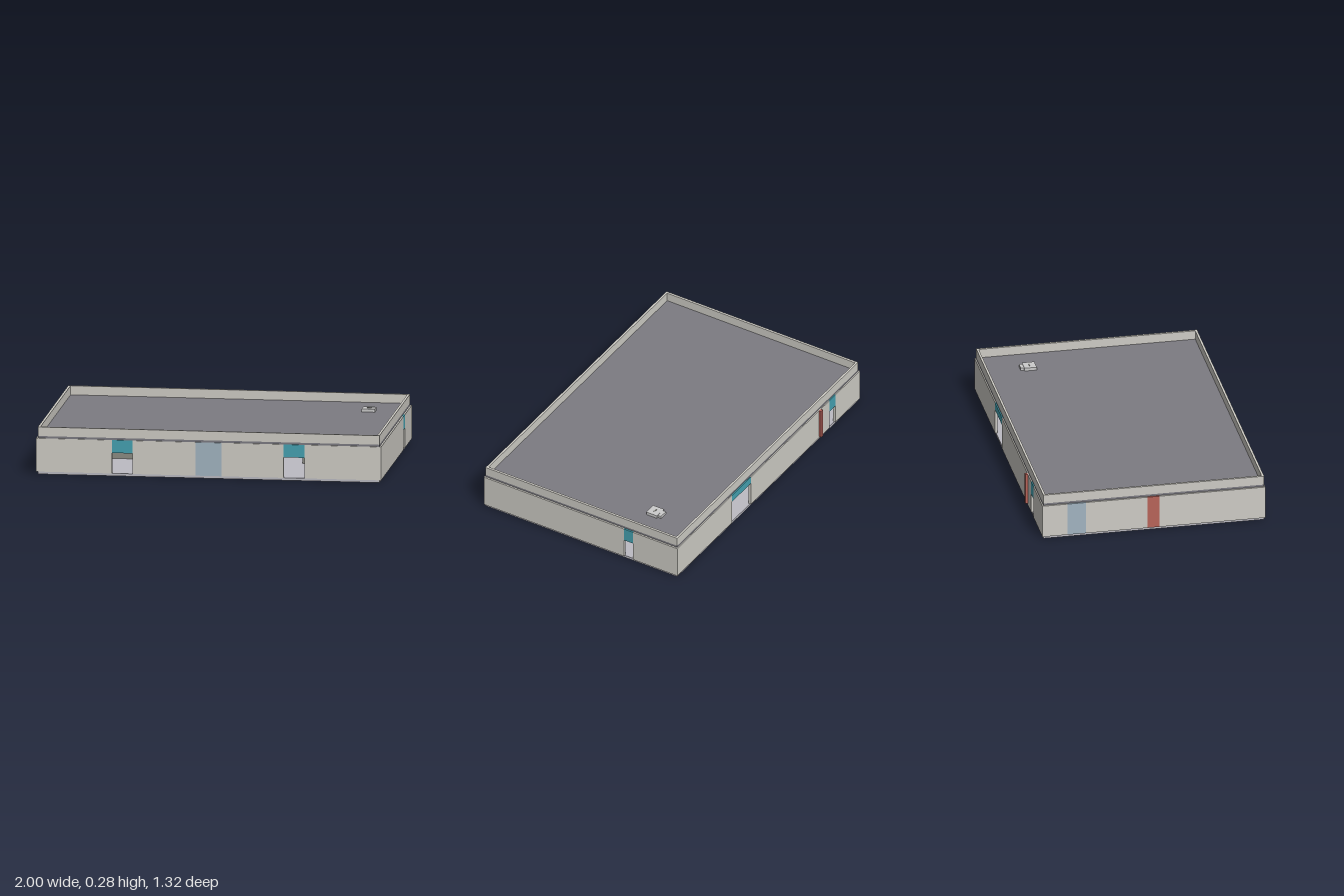
import * as THREE from 'three';

const mat = (color) => new THREE.MeshStandardMaterial({ color });
const stone = mat(0xcfcdc6), floorGrey = mat(0xbcbbc3), roofGrey = mat(0x7c7b82);
const teal = mat(0x45a2b2), glass = mat(0xa3b5c2), red = mat(0xb8645a);
const darkGrey = mat(0x8c8c84), grey = mat(0xcccccc);

// Box given by its lower and upper limits on each axis
function box(parent, name, material, [x0, x1], [y0, y1], [z0, z1]) {
  const mesh = new THREE.Mesh(new THREE.BoxGeometry(x1 - x0, y1 - y0, z1 - z0), material);
  mesh.position.set((x0 + x1) / 2, (y0 + y1) / 2, (z0 + z1) / 2);
  mesh.name = name;
  parent.add(mesh);
  return mesh;
}

const Y0 = 0.015, Y1 = 0.21, THICK = 0.016;
const X = 1, ZB = -0.645, ZF = 0.66;

// Wall running along x or z, split around its doors and panels.
// A feature spans from..to; it fills the wall above "bottom" and is open below.
function wall(parent, name, along, [start, end], across, features) {
  const group = new THREE.Group();
  group.name = name;
  const piece = (label, material, a, b, y0) => along === 'x'
    ? box(group, label, material, [a, b], [y0, Y1], across)
    : box(group, label, material, across, [y0, Y1], [a, b]);
  let at = start;
  for (const f of features) {
    piece('wallSection', stone, at, f.from, Y0);
    piece(f.name, f.material, f.from, f.to, f.bottom ?? Y0);
    at = f.to;
  }
  piece('wallSection', stone, at, end, Y0);
  parent.add(group);
}

const door = (from, to, bottom) => ({ name: 'doorTransom', material: teal, from, to, bottom });
const panel = (name, material, from, to) => ({ name, material, from, to });

export function createModel() {
  const model = new THREE.Group();
  model.name = 'building';

  // Floor slab and roof deck
  const px = [-0.99, 0.99], pz = [-0.638, 0.655];
  box(model, 'floorSlab', floorGrey, px, [0, Y0], pz);
  box(model, 'roofDeck', roofGrey, px, [Y1, 0.222], pz);

  // Outer walls with doorways and panels
  wall(model, 'frontWall', 'x', [-X, X], [ZF - THICK, ZF], [
    door(-0.56, -0.44, 0.135),
    panel('glassPanel', glass, -0.075, 0.075),
    door(0.435, 0.555, 0.135),
  ]);
  wall(model, 'backWall', 'x', [-X, X], [ZB, ZB + THICK], [
    door(-0.73, -0.665, 0.13),
    door(0.195, 0.4, 0.165),
  ]);
  const sideSpan = [ZB + THICK, ZF - THICK];
  wall(model, 'leftWall', 'z', sideSpan, [X - THICK, X], [door(-0.345, -0.285, 0.13)]);
  wall(model, 'rightWall', 'z', sideSpan, [-X, -X + THICK], [
    panel('glassPanel', glass, -0.5, -0.39),
    panel('redPanel', red, -0.03, 0.04),
  ]);

  // Parapet around the roof
  const frame = new THREE.Shape();
  const rect = (path, x0, x1, z0, z1) => path
    .moveTo(x0, -z1).lineTo(x1, -z1).lineTo(x1, -z0).lineTo(x0, -z0).closePath();
  rect(frame, ...px, ...pz);
  const inner = new THREE.Path();
  rect(inner, -0.976, 0.976, -0.625, 0.642);
  frame.holes.push(inner);
  const parapet = new THREE.Mesh(
    new THREE.ExtrudeGeometry(frame, { depth: 0.053, bevelEnabled: false }), stone);
  parapet.rotation.x = -Math.PI / 2;
  parapet.position.y = 0.222;
  parapet.name = 'parapet';
  model.add(parapet);

  // Upright red duct on the back wall
  box(model, 'duct', red, [-0.57, -0.55], [0.025, Y1], [-0.66, ZB]);

  // Low blocks inside, seen through the front doorways
  box(model, 'innerBlock', darkGrey, [-0.62, -0.38], [Y0, 0.07], [0.1, 0.2]);
  box(model, 'innerBlock', darkGrey, [0.48, 0.68], [Y0, 0.07], [0.1, 0.2]);

  // Roof unit with a narrower rear section and a small handle
  const unit = new THREE.Group();
  unit.name = 'roofUnit';
  box(unit, 'unitBody', grey, [0.752, 0.828], [0.222, 0.24], [-0.402, -0.33]);
  box(unit, 'unitRear', grey, [0.763, 0.817], [0.222, 0.237], [-0.422, -0.402]);
  box(unit, 'unitHandle', darkGrey, [0.778, 0.802], [0.24, 0.243], [-0.37, -0.364]);
  model.add(unit);

  return model;
}
